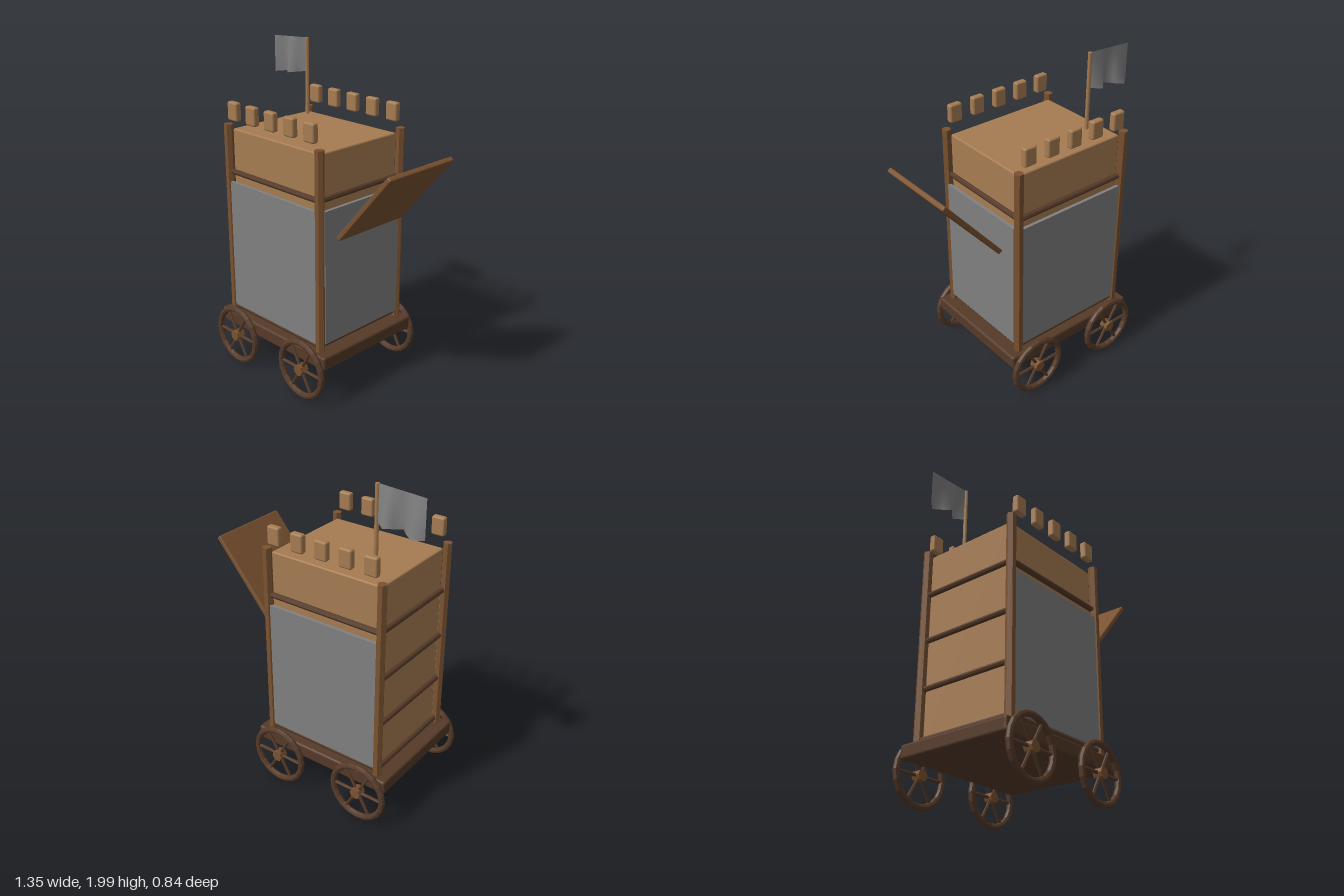
import * as THREE from 'three';
import { RoundedBoxGeometry } from 'three/addons/geometries/RoundedBoxGeometry.js';

const material = (name, color, extra = {}) => {
  const m = new THREE.MeshStandardMaterial({ color, ...extra });
  m.name = name;
  return m;
};

export function createModel() {
  const root = new THREE.Group();
  root.name = 'siegeTower';
  const lightWood = material('lightWood', 0xa67c52);
  const midWood = material('midWood', 0x7a5230, { flatShading: true });
  const darkWood = material('darkWood', 0x553a28, { flatShading: true });
  const hide = material('greyHide', 0x808080, { side: THREE.DoubleSide });

  const add = (name, geometry, mat, x, y, z, parent = root) => {
    const mesh = new THREE.Mesh(geometry, mat);
    mesh.name = name;
    mesh.position.set(x, y, z);
    parent.add(mesh);
    return mesh;
  };
  const slab = (w, h, d, r = 0.01) => new RoundedBoxGeometry(w, h, d, 2, r);
  const CX = -0.155; // middle of the tower in x

  // Wagon bed and tower body
  add('wagonBed', slab(0.93, 0.085, 0.75, 0.014), darkWood, CX, 0.288, 0);
  add('towerBody', slab(0.74, 1.18, 0.61), lightWood, CX, 0.92, 0);

  // Six-sided corner posts with a corner pointing along x
  for (const sx of [-1, 1]) {
    for (const sz of [-1, 1]) {
      const post = new THREE.CylinderGeometry(0.028, 0.028, 1.21, 6).rotateY(Math.PI / 2);
      add('cornerPost', post, midWood, CX + sx * 0.384, 0.935, sz * 0.325);
    }
  }

  // Four rings of horizontal rails
  for (let i = 0; i < 4; i++) {
    const y = 0.362 + i * 0.296;
    for (const s of [-1, 1]) {
      const longRail = new THREE.CylinderGeometry(0.017, 0.017, 0.76, 8).rotateZ(Math.PI / 2);
      add('longRail', longRail, darkWood, CX, y, s * 0.322);
      const sideRail = new THREE.CylinderGeometry(0.017, 0.017, 0.64, 8).rotateX(Math.PI / 2);
      add('sideRail', sideRail, darkWood, CX + s * 0.377, y, 0);
    }
  }

  // Protective hides on the front, back and ramp side
  for (const s of [-1, 1]) {
    add('longHide', new THREE.BoxGeometry(0.73, 0.815, 0.02), hide, CX, 0.782, s * 0.332);
  }
  add('rampSideHide', new THREE.BoxGeometry(0.02, 0.815, 0.61), hide, 0.24, 0.782, 0);

  // Battlement blocks
  for (const s of [-1, 1]) {
    for (let i = -2; i <= 2; i++) {
      add('battlement', slab(0.082, 0.112, 0.042, 0.012), lightWood, CX + i * 0.16, 1.625, s * 0.328);
    }
  }

  // Tilted boarding ramp
  const ramp = add('boardingRamp', slab(0.567, 0.03, 0.52, 0.008), midWood, 0.482, 1.248, 0);
  ramp.rotation.z = THREE.MathUtils.degToRad(50);

  // Spoked wheels
  const addWheel = (x, z) => {
    const wheel = new THREE.Group();
    wheel.name = 'wheel';
    wheel.position.set(x, 0.2, z);
    root.add(wheel);
    add('rim', new THREE.TorusGeometry(0.171, 0.019, 8, 20), darkWood, 0, 0, 0, wheel);
    for (let i = 0; i < 3; i++) {
      const spoke = add('spoke', new THREE.CylinderGeometry(0.01, 0.01, 0.33, 6), darkWood, 0, 0, 0, wheel);
      spoke.rotation.z = Math.PI / 2 + i * Math.PI / 3;
    }
    const hub = new THREE.CylinderGeometry(0.034, 0.034, 0.056, 8).rotateX(Math.PI / 2);
    add('hub', hub, midWood, 0, 0, 0, wheel);
  };
  for (const x of [-0.45, 0.135]) {
    for (const z of [-0.393, 0.393]) addWheel(x, z);
  }

  // Flagpole
  add('flagpole', new THREE.CylinderGeometry(0.012, 0.012, 0.46, 6), lightWood, -0.392, 1.77, -0.174);

  // Flag cloth, with folds that widen towards the lower edge
  const folds = [0, -0.046, -0.01, 0.03, -0.01, -0.046, 0];
  const foldX = [0, 0.06, 0.1, 0.14, 0.18, 0.23, 0.285];
  const cloth = new THREE.PlaneGeometry(1, 1, 6, 6);
  const p = cloth.attributes.position;
  for (let i = 0; i < p.count; i++) {
    const column = 6 - Math.round((p.getX(i) + 0.5) * 6);
    const down = 0.5 - p.getY(i);
    const x = foldX[column];
    const top = 2.0 - x * 0.06;
    const bottom = 1.79 - x * 0.11;
    p.setXYZ(i, -0.397 - x, top + (bottom - top) * down, folds[column] * down);
  }
  cloth.computeVertexNormals();
  add('flag', cloth, hide, 0, 0, -0.174);

  return root;
}
